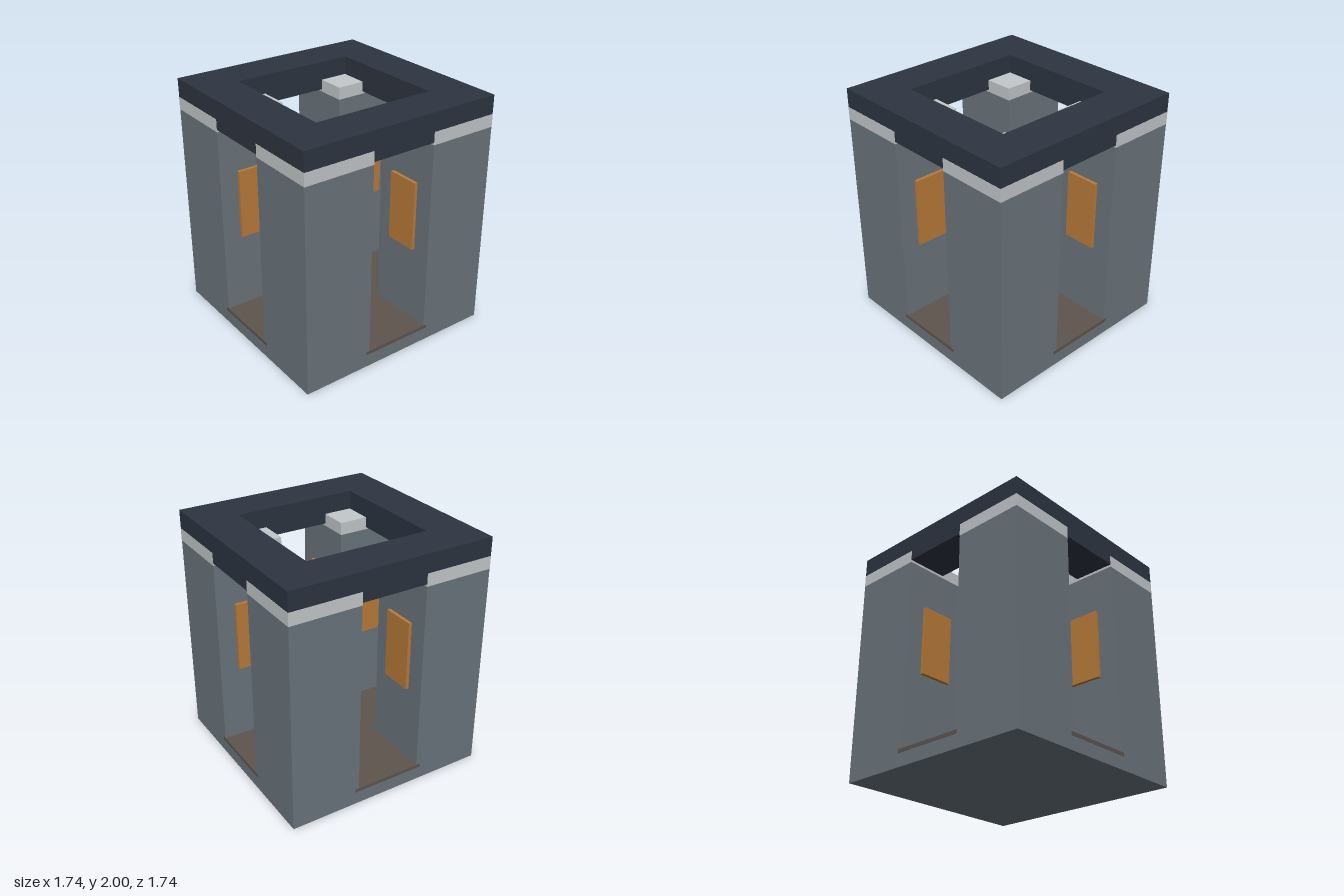
import * as THREE from 'three';

const mat = (name, color) => {
  const m = new THREE.MeshStandardMaterial({ color });
  m.name = name;
  return m;
};

export function createModel() {
  const group = new THREE.Group();
  const stone = mat('grey stone', 0x6b757d);
  const pale = mat('pale stone', 0xc3c8ca);
  const slate = mat('dark slate', 0x2d3541);
  const amber = mat('amber panel', 0xb97b3a);
  const paving = mat('brown paving', 0x5e554d);

  const OUT = 0.87, IN = 0.28, MID = (OUT + IN) / 2, W = OUT - IN;

  // Box given by its centre in plan, its y range and its plan size
  const box = (name, material, x, z, y0, y1, w, d) => {
    const mesh = new THREE.Mesh(new THREE.BoxGeometry(w, y1 - y0, d), material);
    mesh.name = name;
    mesh.position.set(x, (y0 + y1) / 2, z);
    group.add(mesh);
  };

  // Base slab
  box('base', stone, 0, 0, 0, 0.125, OUT * 2, OUT * 2);

  // Cross-shaped floor, its ends showing as door sills
  const a = 0.31, b = OUT + 0.002;
  const cross = new THREE.Shape([
    [-a, -b], [a, -b], [a, -a], [b, -a], [b, a], [a, a],
    [a, b], [-a, b], [-a, a], [-b, a], [-b, -a], [-a, -a],
  ].map(([x, y]) => new THREE.Vector2(x, y)));
  const floor = new THREE.Mesh(
    new THREE.ExtrudeGeometry(cross, { depth: 0.03, bevelEnabled: false }).rotateX(-Math.PI / 2), paving);
  floor.name = 'floor';
  floor.position.y = 0.11;
  group.add(floor);

  // Corner piers with pale capitals and a panel on each inner face
  for (const sx of [-1, 1]) {
    for (const sz of [-1, 1]) {
      const x = sx * MID, z = sz * MID;
      box('pier', stone, x, z, 0.12, 1.74, W, W);
      box('capital', pale, x, z, 1.74, 1.845, W + 0.002, W + 0.002);
      box('sidePanel', amber, sx * (IN - 0.013), z, 0.79, 1.375, 0.03, 0.28);
      box('sidePanel', amber, x, sz * (IN - 0.013), 0.79, 1.375, 0.28, 0.03);
    }
  }

  // Square roof ring, open in the middle
  const square = (path, r) => path.moveTo(-r, -r).lineTo(r, -r).lineTo(r, r).lineTo(-r, r).closePath();
  const ring = square(new THREE.Shape(), OUT);
  ring.holes.push(square(new THREE.Path(), 0.523));
  const roof = new THREE.Mesh(
    new THREE.ExtrudeGeometry(ring, { depth: 0.24, bevelEnabled: false }).rotateX(-Math.PI / 2), slate);
  roof.name = 'roofRing';
  roof.position.y = 1.76;
  group.add(roof);

  return group;
}
